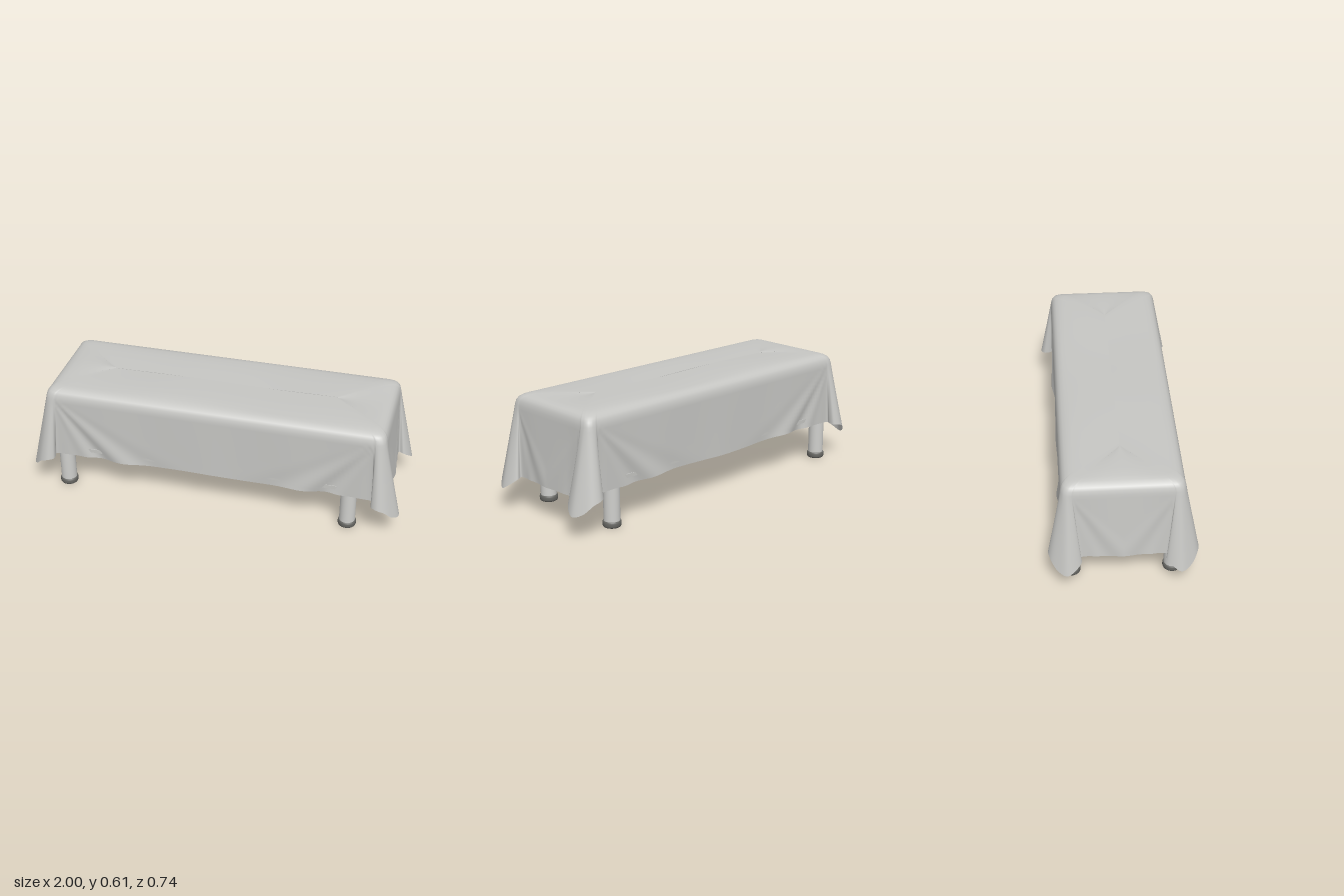
import * as THREE from 'three';

const cloth = new THREE.MeshStandardMaterial({ color: 0xc6c6c3, side: THREE.DoubleSide });
cloth.name = 'cloth grey';
const legPaint = new THREE.MeshStandardMaterial({ color: 0xcfcfcc });
legPaint.name = 'leg grey';
const rubber = new THREE.MeshStandardMaterial({ color: 0x666662 });
rubber.name = 'foot dark grey';

const X = 0.905, Z = 0.3, SUB = 8;

// One corner fold, from the end face round to the long face:
// [table edge x, z,  hem x, z, hem height]
const CORNER = [
  [0.905, 0.12, 0.935, 0.12, 0.187],
  [0.905, 0.21, 0.927, 0.175, 0.187],
  [0.905, 0.243, 0.931, 0.212, 0.183],
  [0.906, 0.25, 0.955, 0.206, 0.178],
  [0.905, 0.26, 0.984, 0.234, 0.152],
  [0.902, 0.274, 0.998, 0.28, 0.125],
  [0.893, 0.288, 0.97, 0.327, 0.142],
  [0.878, 0.297, 0.928, 0.36, 0.185],
  [0.867, 0.3, 0.89, 0.368, 0.2],
  [0.858, 0.301, 0.86, 0.351, 0.204],
  [0.85, 0.3, 0.857, 0.325, 0.206],
  [0.84, 0.3, 0.862, 0.306, 0.208],
  [0.78, 0.3, 0.79, 0.303, 0.212],
];

// Closed control loops for the table edge and the hem
function makeLoops() {
  const edge = [], hem = [];
  const add = (ex, ez, hx, hz, hy) => {
    edge.push(new THREE.Vector3(ex, 0.55, ez));
    hem.push(new THREE.Vector3(hx, hy, hz));
  };
  const corner = (sx, sz) => {
    const list = sx * sz > 0 ? CORNER : [...CORNER].reverse();
    for (const [ex, ez, hx, hz, hy] of list) add(ex * sx, ez * sz, hx * sx, hz * sz, hy);
  };
  const longSide = (s) => {
    for (let i = -4; i <= 4; i++) {
      const x = -s * i * 0.16;
      add(x, s * Z, x, s * (0.304 + 0.003 * Math.cos(i * 2)), 0.214 + 0.004 * Math.sin(i * 1.3 + s));
    }
  };
  const endSide = (s) => add(s * X, 0, s * 0.938, 0, 0.188);
  corner(1, 1); longSide(1); corner(-1, 1); endSide(-1);
  corner(-1, -1); longSide(-1); corner(1, -1); endSide(1);
  return [edge, hem].map((p) => new THREE.CatmullRomCurve3(p, true));
}

// Shallow folds that fan out from the table corners
function addFolds(p) {
  const depth = 0.575 - p.y;
  const onLong = Math.abs(p.x) < 0.86 && Math.abs(p.z) > 0.28;
  const onEnd = Math.abs(p.z) < 0.23 && Math.abs(p.x) > 0.89;
  if (depth < 0 || !(onLong || onEnd)) return;
  const along = onLong ? 0.88 - Math.abs(p.x) : 0.28 - Math.abs(p.z);
  const angle = Math.atan2(along, depth);
  const w = THREE.MathUtils.clamp((angle - 0.25) / (onLong ? 0.95 : 0.55), 0, 1);
  const d = depth * Math.sin(Math.PI * w) ** 2 * Math.sin(angle * (onLong ? 17 : 11)) * (onLong ? 0.028 : 0.02);
  if (onLong) p.z += Math.sign(p.z) * d;
  else p.x += Math.sign(p.x) * d;
}

function clothGeometry() {
  const [edge, hem] = makeLoops();
  const n = edge.points.length * SUB;
  const pos = [], index = [];
  let rows = 0;
  const row = (f) => {
    for (let j = 0; j < n; j++) {
      const p = f(edge.getPoint(j / n), hem.getPoint(j / n));
      pos.push(p.x, p.y, p.z);
    }
    rows++;
  };
  // Top and rounded rim: inset from the edge, height
  const rim = [[0.3, 0.61], [0.2, 0.612], [0.12, 0.611], [0.07, 0.608], [0.045, 0.604],
    [0.027, 0.597], [0.014, 0.587], [0.005, 0.572]];
  for (const [d, y] of rim) {
    row((a) => {
      const ripple = d > 0.06 ? 0.0025 * Math.sin(a.x * 5 + a.z * 9) : 0;
      return a.set(a.x * (X - d) / X, y + ripple, a.z * (Z - d) / Z);
    });
  }
  // Hanging sides down to the hem
  for (let i = 0; i <= 18; i++) {
    row((a, b) => {
      a.lerp(b, i / 18);
      addFolds(a);
      return a;
    });
  }
  for (let i = 0; i < rows - 1; i++) {
    for (let j = 0; j < n; j++) {
      const k = (j + 1) % n;
      const a = i * n + j, b = i * n + k, c = a + n, d = b + n;
      index.push(a, b, c, b, d, c);
    }
  }
  const g = new THREE.BufferGeometry();
  g.setAttribute('position', new THREE.Float32BufferAttribute(pos, 3));
  g.setIndex(index);
  g.computeVertexNormals();
  return g;
}

export function createModel() {
  const model = new THREE.Group();
  model.name = 'coveredTable';
  const add = (name, geometry, material, x = 0, y = 0, z = 0) => {
    const m = new THREE.Mesh(geometry, material);
    m.name = name;
    m.position.set(x, y, z);
    model.add(m);
  };

  add('tablecloth', clothGeometry(), cloth);
  add('tableUnderside', new THREE.BoxGeometry(1.84, 0.02, 0.6), cloth, 0, 0.255, 0);

  // Four round legs with soft-edged feet
  const legGeo = new THREE.CylinderGeometry(0.042, 0.042, 0.23, 32);
  const footGeo = new THREE.LatheGeometry([
    [0, 0], [0.04, 0], [0.045, 0.003], [0.048, 0.01], [0.048, 0.024], [0.045, 0.032], [0.04, 0.034], [0, 0.034],
  ].map(([r, y]) => new THREE.Vector2(r, y)), 32);
  for (const [x, side] of [[-0.82, 'Right'], [0.73, 'Left']]) {
    for (const [z, end] of [[0.25, 'front'], [-0.257, 'back']]) {
      add(`${end}${side}Leg`, legGeo, legPaint, x, 0.145, z);
      add(`${end}${side}Foot`, footGeo, rubber, x, 0, z);
    }
  }
  return model;
}
